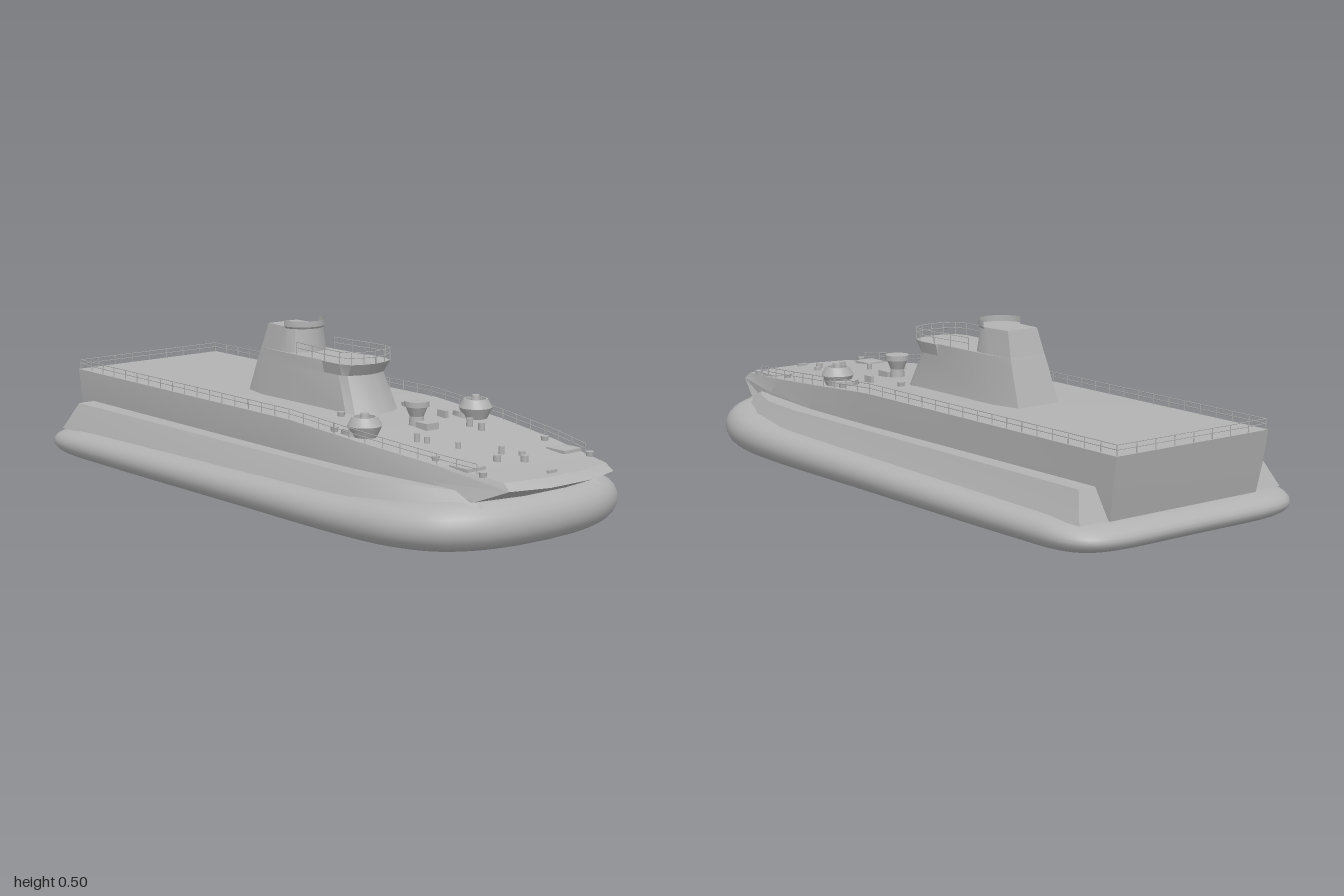
import * as THREE from 'three';
import { toCreasedNormals } from 'three/addons/utils/BufferGeometryUtils.js';

const grey = new THREE.MeshStandardMaterial({ color: 0xb2b2b2, side: THREE.DoubleSide });
grey.name = 'ship grey';

// Skin between stacked loops; each loop is a +x half outline (stern to bow) mirrored across x.
function loft(halves, crease = 0.5) {
  const rings = halves.map(h => [...h, ...[...h].reverse().map(([x, y, z]) => [-x, y, z])]);
  const n = rings[0].length, pos = [];
  const tri = (a, b, c) => pos.push(...a, ...b, ...c);
  for (let k = 0; k < rings.length - 1; k++) {
    for (let i = 0; i < n; i++) {
      const j = (i + 1) % n, lo = rings[k], up = rings[k + 1];
      tri(lo[i], up[i], up[j]);
      tri(lo[i], up[j], lo[j]);
    }
  }
  const top = rings[rings.length - 1], bottom = rings[0];
  for (let i = 0; i < n / 2 - 1; i++) {
    const a = i, b = i + 1, c = n - 2 - i, d = n - 1 - i;
    tri(top[a], top[d], top[b]);
    tri(top[b], top[d], top[c]);
    tri(bottom[a], bottom[b], bottom[d]);
    tri(bottom[b], bottom[c], bottom[d]);
  }
  const g = new THREE.BufferGeometry();
  g.setAttribute('position', new THREE.Float32BufferAttribute(pos, 3));
  return toCreasedNormals(g, crease);
}

// Piecewise linear lookup in [key, value] pairs
function lerpTable(t, v) {
  for (let i = 1; i < t.length; i++) {
    if (v <= t[i][0]) {
      const k = Math.max(0, (v - t[i - 1][0]) / (t[i][0] - t[i - 1][0]));
      return t[i - 1][1] + k * (t[i][1] - t[i - 1][1]);
    }
  }
  return t[t.length - 1][1];
}

const DECK = [[0.28, 0.26, -0.965], [0.285, 0.26, 0.15], [0.274, 0.24, 0.45],
  [0.245, 0.22, 0.7], [0.195, 0.2, 0.94], [0.08, 0.2, 0.965]];
const deckY = z => lerpTable(DECK.map(p => [p[2], p[1]]), z);
const deckX = z => lerpTable(DECK.map(p => [p[2], p[0]]), z);

export function createModel() {
  const ship = new THREE.Group();
  ship.name = 'hovercraft';

  const add = (name, geo, x = 0, y = 0, z = 0, parent = ship) => {
    const m = new THREE.Mesh(geo, grey);
    m.name = name;
    m.position.set(x, y, z);
    parent.add(m);
    return m;
  };
  const box = (name, w, h, d, x, y, z) => add(name, new THREE.BoxGeometry(w, h, d), x, y, z);
  const cyl = (name, rt, rb, h, x, y, z) => add(name, new THREE.CylinderGeometry(rt, rb, h, 12), x, y, z);

  // Inflated skirt: rounded plan outline swept through a bulging profile
  const plan = new THREE.CatmullRomCurve3([[0.02, -1], [0.3, -0.995], [0.375, -0.965], [0.415, -0.9],
    [0.427, -0.7], [0.43, 0], [0.428, 0.55], [0.405, 0.73], [0.345, 0.85], [0.25, 0.915],
    [0.14, 0.945], [0.01, 0.955]].map(([x, z]) => new THREE.Vector3(x, 0, z)), false, 'centripetal').getPoints(44);
  const height = [[-1, 0.08], [-0.85, 0.088], [0, 0.1], [0.5, 0.108], [0.75, 0.125], [0.9, 0.14]];
  const skirt = [];
  for (let i = 0; i <= 12; i++) {
    const a = (i / 12) * Math.PI, k = 1 - Math.pow(Math.sin(a), 0.8);
    skirt.push(plan.map(p => [p.x * (1 - 0.17 * k), lerpTable(height, p.z) * (1 - Math.cos(a)) / 2,
      p.z * (1 - 0.1 * k)]));
  }
  add('skirt', loft(skirt, 0.9));

  // Side ledges above the skirt
  add('sideLedges', loft([
    [[0.372, 0.08, -0.925], [0.372, 0.1, 0.5], [0.348, 0.11, 0.68], [0.3, 0.12, 0.8], [0.235, 0.125, 0.89]],
    [[0.336, 0.165, -0.88], [0.336, 0.165, 0.48], [0.318, 0.165, 0.64], [0.275, 0.165, 0.75], [0.215, 0.16, 0.84]],
  ]));

  // Hull: keel line, knuckle line and deck edge
  add('hull', loft([
    [[0.27, 0.07, -0.93], [0.285, 0.08, 0.15], [0.284, 0.1, 0.45], [0.262, 0.12, 0.7], [0.235, 0.14, 0.87], [0.08, 0.14, 0.9]],
    [[0.278, 0.165, -0.948], [0.29, 0.165, 0.15], [0.284, 0.168, 0.45], [0.254, 0.172, 0.72], [0.2, 0.18, 0.965], [0.08, 0.18, 1]],
    DECK,
  ], 0.2));

  // Superstructure
  const ring = (w, wb, zb, zf, y) => [[wb, y, zb], [w, y, zb + 0.09], [w, y, zf - 0.05],
    [w * 0.85, y, zf - 0.025], [w * 0.45, y, zf - 0.007], [0.005, y, zf]];
  add('deckhouse', loft([ring(0.097, 0.075, -0.315, 0.228, 0.255), ring(0.082, 0.068, -0.277, 0.178, 0.365),
    ring(0.08, 0.064, -0.264, 0.175, 0.4)]));
  const bridge = (w, zf, y) => [[w, y, 0.06], [w, y, 0.14], [w * 0.85, y, zf - 0.022], [w * 0.45, y, zf - 0.006], [0.005, y, zf]];
  add('bridge', loft([bridge(0.082, 0.178, 0.365), bridge(0.09, 0.2, 0.4)]));
  add('tower', loft([ring(0.074, 0.064, -0.264, -0.08, 0.4), ring(0.062, 0.055, -0.24, -0.085, 0.475)]));
  add('towerBand', new THREE.CylinderGeometry(0.07, 0.07, 0.018, 20, 1, true, -Math.PI / 2, Math.PI), 0, 0.486, -0.145);
  add('towerBandFloor', new THREE.CylinderGeometry(0.07, 0.066, 0.006, 20, 1, false, -Math.PI / 2, Math.PI), 0, 0.474, -0.145);

  // Railings: posts along a path with two bars
  const bar = (name, a, b, r) => {
    const m = add(name, new THREE.CylinderGeometry(r, r, a.distanceTo(b), 5));
    m.position.copy(a).add(b).multiplyScalar(0.5);
    m.quaternion.setFromUnitVectors(new THREE.Vector3(0, 1, 0), b.clone().sub(a).normalize());
  };
  const railing = (name, pts, h) => {
    const up = (p, k) => new THREE.Vector3(p[0], p[1] + h * k, p[2]);
    pts.forEach((p, i) => {
      bar(name + 'Post', up(p, -0.05), up(p, 1), 0.0016);
      if (i) for (const k of [0.55, 1]) bar(name + 'Bar', up(pts[i - 1], k), up(p, k), 0.0013);
    });
  };
  const steps = (n, f) => Array.from({ length: n + 1 }, (_, i) => f(i / n));
  for (const s of [1, -1]) {
    railing('deckRail', steps(28, t => {
      const z = -0.96 + t * 1.81;
      return [s * (deckX(z) - 0.006), deckY(z), z];
    }), 0.03);
  }
  railing('sternRail', steps(8, t => [(t - 0.5) * 0.55, 0.26, -0.96]), 0.03);
  railing('bridgeRail', [[-0.074, -0.08], [-0.08, 0], [-0.088, 0.07], [-0.089, 0.14], [-0.075, 0.177], [-0.04, 0.193], [0, 0.199],
    [0.04, 0.193], [0.075, 0.177], [0.089, 0.14], [0.088, 0.07], [0.08, 0], [0.074, -0.08]].map(([x, z]) => [x, 0.4, z]), 0.037);

  // Mirrored deck equipment
  for (const s of [1, -1]) {
    const tub = [[0.035, 0], [0.05, 0.033], [0.036, 0.058], [0.031, 0.058], [0.031, 0.045], [0.001, 0.045]];
    add('sideGunTub', toCreasedNormals(new THREE.LatheGeometry(tub.map(p => new THREE.Vector2(...p)), 20), 0.5), s * 0.215, 0.241, 0.4);
    add('gunTubBase', new THREE.CylinderGeometry(0.047, 0.05, 0.022, 6), s * 0.215, 0.25, 0.37);
    cyl('gunPost', 0.012, 0.016, 0.03, s * 0.215, 0.295, 0.4);
    box('bowHatch', 0.068, 0.009, 0.072, s * 0.185, 0.215, 0.79);
    for (const [x, z] of [[0.21, 0.69], [0.205, 0.87], [0.125, 0.19], [0.255, 0.315]]) {
      cyl('mooringBollard', 0.012, 0.01, 0.014, s * x, deckY(z) + 0.006, z);
    }
    box('deckLocker', 0.012, 0.022, 0.035, s * 0.13, deckY(0.35) + 0.01, 0.35);
  }

  // Centre gun mount
  cyl('centreGunFunnel', 0.038, 0.021, 0.04, 0, 0.291, 0.38);
  cyl('centreGunCollar', 0.038, 0.038, 0.016, 0, 0.308, 0.38);
  cyl('centreGunPedestal', 0.021, 0.024, 0.035, 0, 0.257, 0.38);
  box('centreGunStep', 0.046, 0.025, 0.05, 0, 0.247, 0.425);

  // Small vents and capstans on the foredeck: x, z, radius, height
  for (const [x, z, r, h] of [[-0.125, 0.52, 0.009, 0.026], [-0.11, 0.545, 0.009, 0.02], [0.125, 0.47, 0.01, 0.026],
    [0.125, 0.52, 0.01, 0.024], [-0.07, 0.63, 0.008, 0.02], [0, 0.73, 0.009, 0.024], [-0.065, 0.78, 0.011, 0.02],
    [0.04, 0.77, 0.01, 0.014], [0, 0.82, 0.011, 0.02]]) {
    cyl('deckVent', r, r, h, x, deckY(z) + h / 2 - 0.002, z);
  }
  box('bowFairlead', 0.035, 0.01, 0.008, -0.01, 0.204, 0.935);

  return ship;
}
